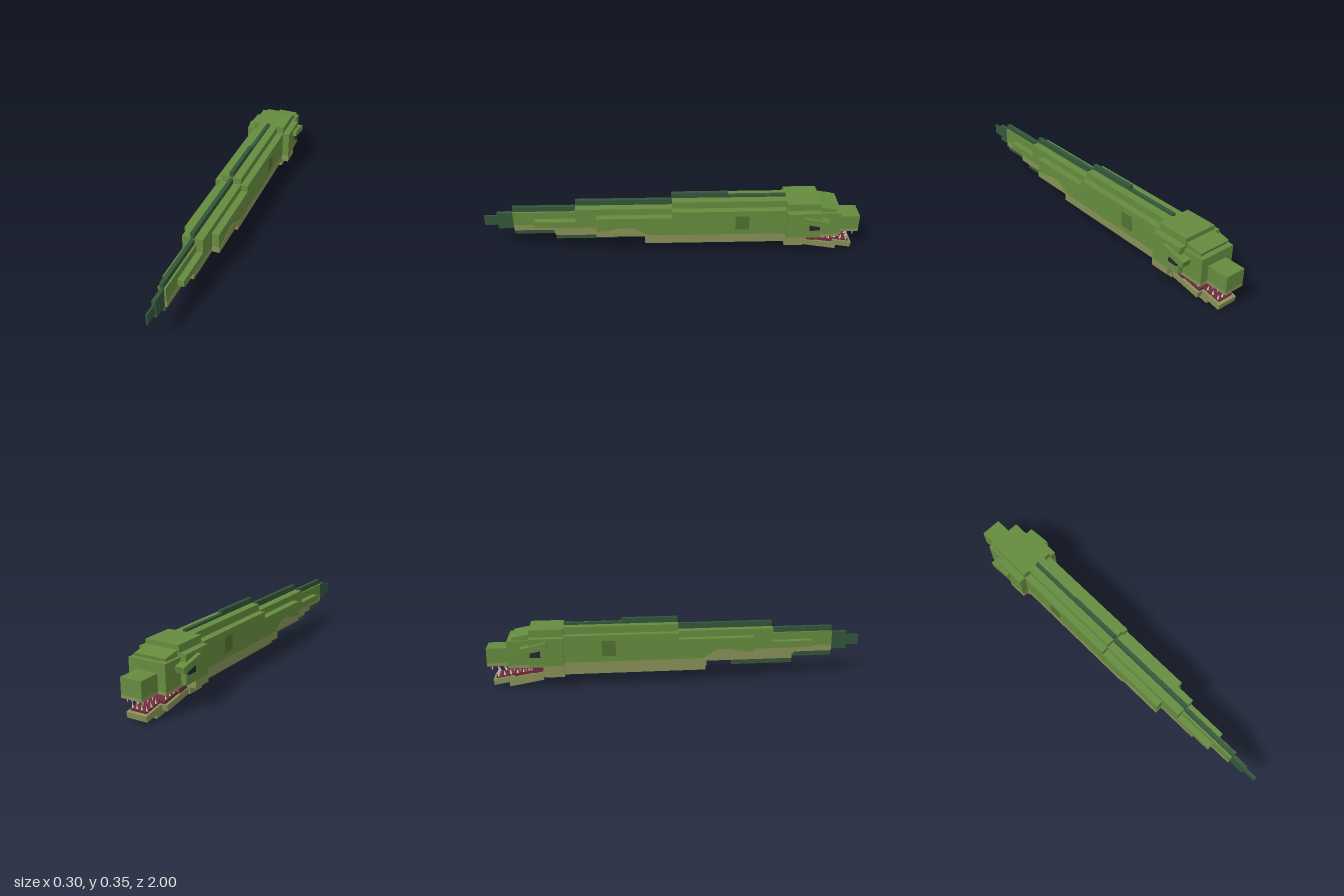
import * as THREE from 'three';

const mat = (name, color) => {
  const m = new THREE.MeshStandardMaterial({ color });
  m.name = name;
  return m;
};

export function createModel() {
  const green = mat('green skin', 0x658b3e);
  const olive = mat('olive belly', 0x889057);
  const finGreen = mat('dark fin green', 0x34563a);
  const gillGreen = mat('gill green', 0x50722f);
  const maroon = mat('mouth maroon', 0x702c38);
  const white = mat('tooth white', 0xd9d9d4);
  const black = mat('eye black', 0x24242e);

  const root = new THREE.Group();
  root.name = 'eel';

  // Box from its limits on each axis
  const box = (name, m, x0, x1, y0, y1, z0, z1, parent = root) => {
    const mesh = new THREE.Mesh(new THREE.BoxGeometry(x1 - x0, y1 - y0, Math.abs(z1 - z0)), m);
    mesh.position.set((x0 + x1) / 2, (y0 + y1) / 2, (z0 + z1) / 2);
    mesh.name = name;
    parent.add(mesh);
    return mesh;
  };
  // Centred box, green above the split height and olive below it
  const skin = (name, w, y0, y1, z0, z1, split = 0) => {
    if (split < y1) box(name, green, -w, w, Math.max(y0, split), y1, z0, z1);
    if (split > y0) box(name + 'Belly', olive, -w, w, y0, Math.min(split, y1), z0, z1);
  };

  // Body: wide flanks with a narrower ridge above and keel below
  skin('frontFlanks', 0.092, 0.096, 0.28, -0.6, 0, 0.138);
  skin('middleFlanks', 0.092, 0.096, 0.245, 0, 0.145, 0.138);
  skin('rearFlanks', 0.092, 0.133, 0.245, 0.145, 0.4, 0.138);
  skin('frontRidge', 0.054, 0.27, 0.318, -0.6, 0);
  skin('rearRidge', 0.054, 0.2, 0.28, 0, 0.51);
  skin('frontKeel', 0.054, 0.06, 0.11, -0.7, 0.145, 0.2);
  skin('rearKeel', 0.02, 0.098, 0.15, 0.145, 0.626, 0.2);

  // Tail
  skin('tailBase', 0.054, 0.133, 0.205, 0.4, 0.626, 0.168);
  skin('tailSides', 0.054, 0.17, 0.205, 0.626, 0.73);
  skin('tailCore', 0.02, 0.134, 0.245, 0.5, 0.845, 0.168);

  // Wavy belly marking on each rear flank
  const wave = new THREE.Shape();
  wave.moveTo(-0.4, 0.134);
  wave.lineTo(-0.4, 0.165);
  wave.bezierCurveTo(-0.33, 0.165, -0.29, 0.186, -0.23, 0.186);
  wave.bezierCurveTo(-0.18, 0.186, -0.16, 0.14, -0.1, 0.138);
  wave.lineTo(-0.1, 0.134);
  const waveGeo = new THREE.ExtrudeGeometry(wave, { depth: 0.002, bevelEnabled: false });
  for (const x of [0.0915, -0.0935]) {
    const m = new THREE.Mesh(waveGeo, olive);
    m.rotation.y = Math.PI / 2;
    m.position.x = x;
    m.name = 'bellyMarking';
    root.add(m);
  }
  box('bellyMarkingEnd', olive, -0.0915, 0.0915, 0.134, 0.165, 0.39, 0.402);

  // Fins: y0, y1, z0, z1
  [
    [0.31, 0.347, -0.295, 0], [0.31, 0.33, -0.6, -0.295],
    [0.27, 0.31, 0, 0.51], [0.235, 0.273, 0.51, 0.845],
    [0.106, 0.14, 0.626, 0.845], [0.07, 0.11, 0.295, 0.626],
    [0.142, 0.238, 0.845, 0.93],
  ].forEach(f => box('fin', finGreen, -0.01, 0.01, ...f));
  box('tailTip', finGreen, -0.0045, 0.0045, 0.162, 0.218, 0.93, 1);

  // Head
  skin('headBack', 0.129, 0.096, 0.28, -0.705, -0.6, 0.135);
  skin('cheeks', 0.129, 0.135, 0.28, -0.775, -0.705);
  skin('headTop', 0.092, 0.27, 0.318, -0.775, -0.6);
  skin('headUnderside', 0.092, 0.06, 0.1, -0.7, -0.6, 0.2);
  skin('face', 0.1, 0.12, 0.265, -0.888, -0.705, 0.136);
  skin('snout', 0.056, 0.12, 0.216, -1, -0.88, 0.136);
  const forehead = box('forehead', green, -0.085, 0.085, 0.255, 0.288, -0.862, -0.765);
  forehead.rotation.x = -0.17;

  // Mouth lining
  box('throat', maroon, -0.08, 0.08, 0.07, 0.122, -0.76, -0.7);
  box('palate', maroon, -0.085, 0.085, 0.112, 0.121, -0.88, -0.7);
  box('frontPalate', maroon, -0.045, 0.045, 0.112, 0.121, -0.985, -0.87);

  // Lower jaw, hinged open
  const jaw = new THREE.Group();
  jaw.name = 'lowerJaw';
  jaw.position.set(0, 0.077, -0.7);
  jaw.rotation.x = -0.17;
  root.add(jaw);
  box('jawBack', olive, -0.085, 0.085, -0.015, 0.015, -0.165, 0.02, jaw);
  box('jawFront', olive, -0.055, 0.055, -0.015, 0.015, -0.275, -0.16, jaw);
  box('chin', olive, -0.048, 0.048, -0.042, -0.014, -0.2, -0.02, jaw);
  box('gum', maroon, -0.072, 0.072, 0.01, 0.03, -0.16, 0, jaw);
  box('frontGum', maroon, -0.043, 0.043, 0.01, 0.025, -0.258, -0.155, jaw);

  // Teeth
  const toothGeo = new THREE.ConeGeometry(0.007, 0.03, 4);
  const tooth = (x, y, z, up, parent) => {
    const t = new THREE.Mesh(toothGeo, white);
    t.position.set(x, y, z);
    if (!up) t.rotation.x = Math.PI;
    t.name = 'tooth';
    parent.add(t);
  };
  for (const s of [-1, 1]) {
    for (let i = 0; i < 4; i++) {
      tooth(s * 0.075, 0.106, -0.77 - i * 0.03, false, root);
      tooth(s * 0.064, 0.038, -0.05 - i * 0.03, true, jaw);
    }
    for (let i = 0; i < 3; i++) {
      tooth(s * 0.042, 0.106, -0.91 - i * 0.033, false, root);
      tooth(s * 0.038, 0.036, -0.18 - i * 0.033, true, jaw);
    }
    tooth(s * 0.015, 0.106, -0.978, false, root);
    tooth(s * 0.013, 0.036, -0.248, true, jaw);

    // Eye, slanted brow and gill on each side
    const side = (name, m, a, b, ...r) => box(name, m, Math.min(s * a, s * b), Math.max(s * a, s * b), ...r);
    side('eye', black, 0.12, 0.141, 0.186, 0.225, -0.77, -0.718);
    side('brow', green, 0.095, 0.149, 0.217, 0.25, -0.818, -0.682).rotation.x = -0.22;
    side('gill', gillGreen, 0.09, 0.094, 0.168, 0.25, -0.405, -0.332);
  }
  return root;
}
